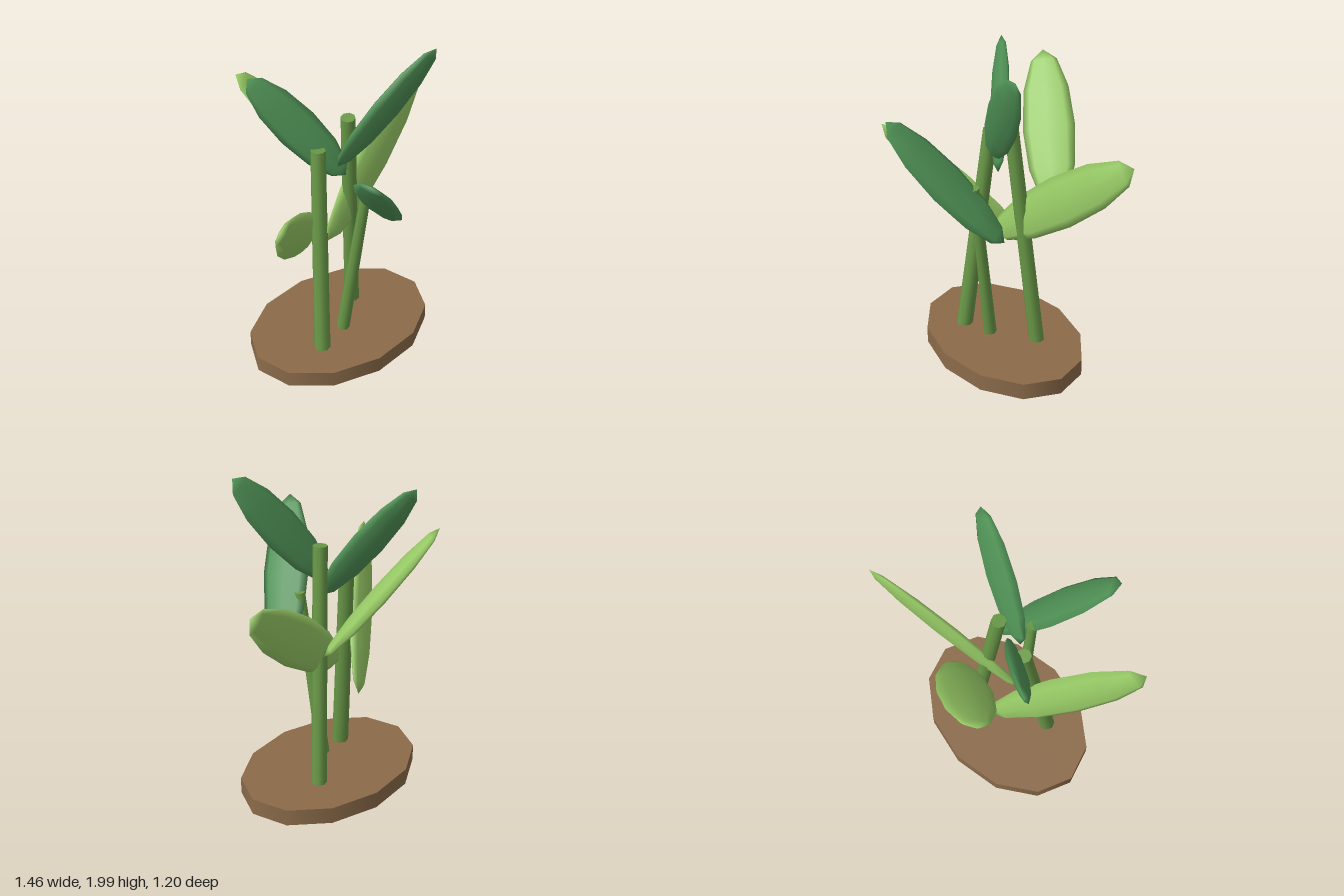
import * as THREE from 'three';

const mat = (color) => new THREE.MeshStandardMaterial({ color });
const SOIL = mat(0x8b6b4a), STEM = mat(0x6a9a48);
const DARK = mat(0x4f9155), LIGHT = mat(0x98cb66);

const vec = (a) => new THREE.Vector3(...a);

function add(group, name, geometry, material) {
  const mesh = new THREE.Mesh(geometry, material);
  mesh.name = name;
  group.add(mesh);
  return mesh;
}

// Tapered stem between two points
function addStem(group, name, from, to, rBottom, rTop) {
  const a = vec(from), b = vec(to);
  const mesh = add(group, name, new THREE.CylinderGeometry(rTop, rBottom, a.distanceTo(b), 8), STEM);
  mesh.position.copy(a).add(b).multiplyScalar(0.5);
  mesh.quaternion.setFromUnitVectors(new THREE.Vector3(0, 1, 0), b.clone().sub(a).normalize());
}

// Flattened low-poly ellipsoid from base to tip, its flat side facing along "face"
function addLeaf(group, name, base, tip, face, halfWidth, material) {
  const a = vec(base), b = vec(tip);
  const axis = b.clone().sub(a).normalize();
  const across = new THREE.Vector3().crossVectors(axis, vec(face)).normalize();
  const normal = new THREE.Vector3().crossVectors(across, axis);
  const geometry = new THREE.SphereGeometry(1, 8, 6);
  geometry.scale(halfWidth, a.distanceTo(b) / 2, 0.038);
  const mesh = add(group, name, geometry, material);
  mesh.quaternion.setFromRotationMatrix(new THREE.Matrix4().makeBasis(across, axis, normal));
  mesh.position.copy(a).add(b).multiplyScalar(0.5);
}

export function createModel() {
  const group = new THREE.Group();
  group.name = 'plant';

  // Oval soil disc with twelve sides
  const soil = new THREE.CylinderGeometry(1, 1, 0.105, 12);
  soil.rotateY(Math.PI / 2);
  soil.scale(0.59, 1, 0.425);
  add(group, 'soil', soil, SOIL).position.set(-0.07, 0.0525, -0.052);

  // Three leaning stems
  addStem(group, 'leftStem', [-0.29, 0.09, 0.09], [-0.2, 1.43, -0.05], 0.05, 0.043);
  addStem(group, 'middleStem', [-0.095, 0.125, 0.03], [-0.037, 1.185, 0.172], 0.04, 0.03);
  addStem(group, 'rightStem', [0.112, 0.09, -0.172], [0, 1.57, -0.048], 0.046, 0.042);

  // Dark leaves: base, tip, facing direction, half width
  [
    ['upperRightLeaf', [-0.11, 1.32, 0.01], [0.4, 1.99, 0.2], [0, -0.28, 0.96], 0.125],
    ['upperLeftLeaf', [-0.05, 1.23, 0], [-0.47, 1.855, -0.31], [-0.28, 0.2, 0.92], 0.12],
    ['frontLeaf', [0.16, 0.9, 0.1], [-0.3, 1.6, 0.57], [0.74, 0.6, -0.25], 0.145],
  ].forEach((leaf) => addLeaf(group, ...leaf, DARK));

  // Light leaves
  [
    ['rightLeaf', [-0.15, 0.775, -0.04], [0.725, 1.485, -0.34], [0.2, 0.13, 0.95], 0.15],
    ['leftLeaf', [-0.13, 0.65, -0.24], [-0.72, 1.37, 0.37], [0.5, -0.3, 0.83], 0.15],
    ['backLeaf', [0.155, 1.01, -0.255], [-0.4, 1.73, -0.56], [0.5, 0.65, 0.6], 0.155],
  ].forEach((leaf) => addLeaf(group, ...leaf, LIGHT));

  return group;
}
